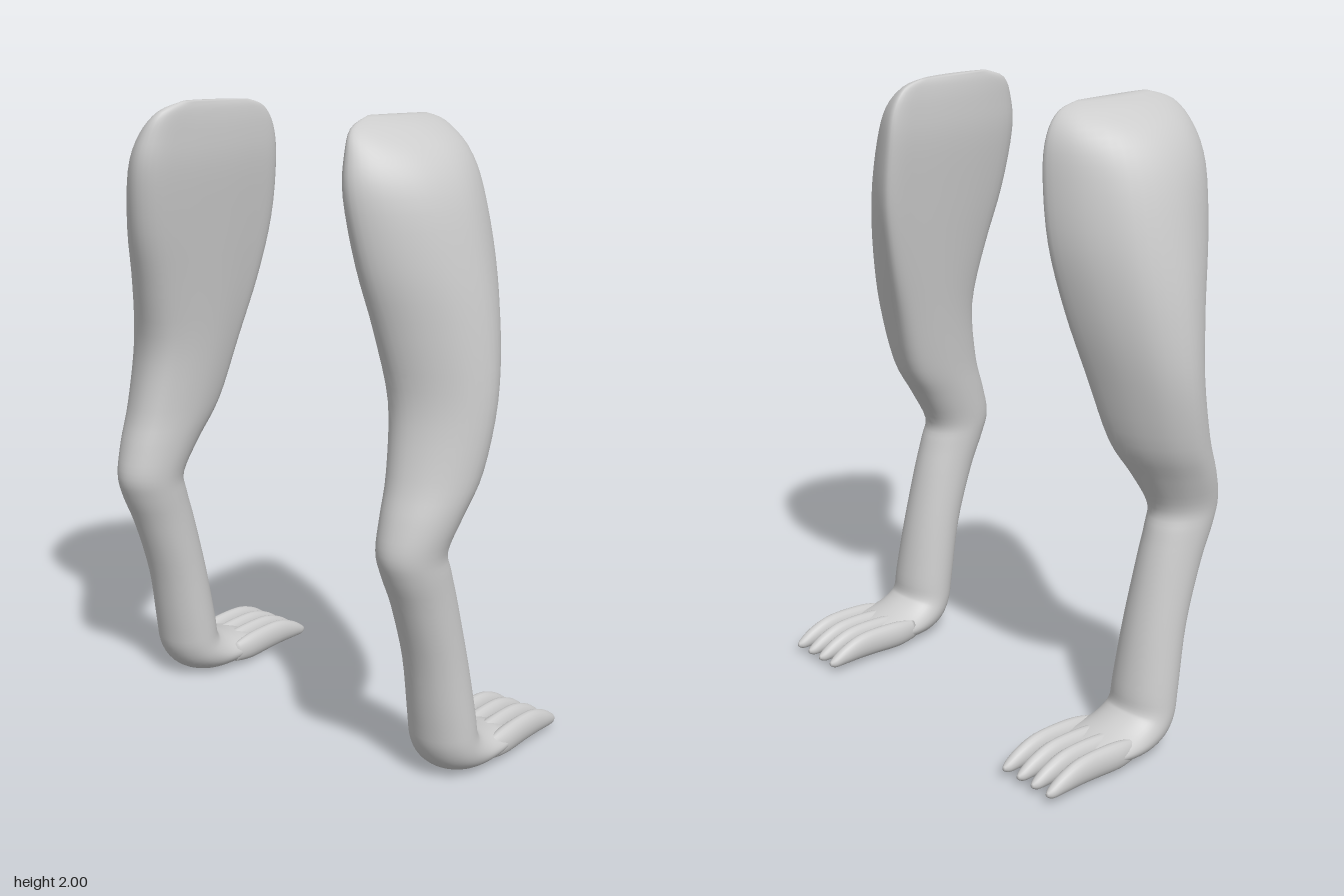
import * as THREE from 'three';

const material = new THREE.MeshStandardMaterial({ color: 0xcccccc, side: THREE.DoubleSide });

// Thigh cross-section: u runs back to front, v from the flat inner side (0) to the outer side (1)
const thighShape = [
  [-1, 0.34], [-0.86, 0.13], [-0.45, 0.04], [0.1, 0], [0.6, 0], [0.92, 0.02],
  [1, 0.14], [0.85, 0.5], [0.52, 0.84], [0.05, 1], [-0.42, 0.9], [-0.82, 0.63],
];

// Matching cross-section of a rounded tube
const roundShape = thighShape.map((_, i) => {
  const a = Math.PI + (i / thighShape.length) * Math.PI * 2;
  return [Math.cos(a), 0.5 + 0.5 * Math.sin(a)];
});

// Sections: [back x, back y, front x, front y, inner z, outer z, thigh shape weight]
const legSections = [
  [-0.24, 2.0, 0.03, 1.99, 0.352, 0.39, 1],
  [-0.33, 1.97, 0.1, 1.965, 0.344, 0.46, 1],
  [-0.375, 1.9, 0.145, 1.9, 0.338, 0.55, 1],
  [-0.395, 1.79, 0.162, 1.79, 0.339, 0.613, 1],
  [-0.37, 1.6, 0.16, 1.6, 0.36, 0.662, 1],
  [-0.315, 1.4, 0.12, 1.4, 0.385, 0.698, 0.95],
  [-0.278, 1.2, 0.062, 1.2, 0.41, 0.715, 0.8],
  [-0.308, 1.0, 0, 1.0, 0.432, 0.702, 0.6],
  [-0.348, 0.88, -0.075, 0.88, 0.445, 0.678, 0.35],
  [-0.372, 0.78, -0.136, 0.77, 0.455, 0.652, 0.1],
  [-0.35, 0.7, -0.122, 0.7, 0.458, 0.65, 0],
  [-0.3, 0.59, -0.09, 0.59, 0.46, 0.65, 0],
  [-0.235, 0.4, -0.045, 0.4, 0.456, 0.656, 0],
  [-0.198, 0.2, -0.012, 0.22, 0.448, 0.668, 0],
  [-0.18, 0.11, -0.004, 0.155, 0.445, 0.672, 0],
  [-0.14, 0.045, 0.012, 0.137, 0.44, 0.674, 0],
  [-0.075, 0.01, 0.045, 0.122, 0.436, 0.675, 0],
  [0.01, 0.004, 0.08, 0.11, 0.432, 0.676, 0],
  [0.1, 0.016, 0.12, 0.1, 0.434, 0.672, 0],
  [0.16, 0.035, 0.165, 0.082, 0.448, 0.658, 0],
];

// Toe sections: [x, bottom y, top y, half width]
const toeProfile = [
  [0.03, 0.025, 0.09, 0.016], [0.1, 0.015, 0.105, 0.028], [0.2, 0.019, 0.11, 0.027],
  [0.27, 0.021, 0.104, 0.026], [0.33, 0.02, 0.082, 0.023], [0.37, 0.02, 0.057, 0.016],
  [0.388, 0.03, 0.042, 0.005],
];

// Smooth in-between sections
function refine(rows, steps) {
  const out = [];
  for (let i = 0; i < rows.length - 1; i++) {
    const p = rows[Math.max(i - 1, 0)], a = rows[i], b = rows[i + 1];
    const n = rows[Math.min(i + 2, rows.length - 1)];
    for (let s = 0; s < steps; s++) {
      const t = s / steps, t2 = t * t, t3 = t2 * t;
      out.push(a.map((v, k) =>
        v * (2 * t3 - 3 * t2 + 1) + b[k] * (3 * t2 - 2 * t3)
        + 0.5 * (b[k] - p[k]) * (t3 - 2 * t2 + t) + 0.5 * (n[k] - v) * (t3 - t2)));
    }
  }
  out.push(rows[rows.length - 1]);
  return out;
}

// Closed skin through the sections; side -1 mirrors it in z
function loft(name, sections, steps, count, side) {
  const rows = refine(sections, steps);
  const positions = [], index = [];
  const tri = (a, b, c) => (side > 0 ? index.push(a, b, c) : index.push(a, c, b));

  for (const [ax, ay, bx, by, zIn, zOut, weight] of rows) {
    const control = thighShape.map(([u, v], i) => new THREE.Vector3(
      THREE.MathUtils.lerp(roundShape[i][0], u, weight),
      THREE.MathUtils.lerp(roundShape[i][1], v, weight), 0));
    const curve = new THREE.CatmullRomCurve3(control, true, 'catmullrom', 0.5);
    for (let j = 0; j < count; j++) {
      const p = curve.getPoint(j / count), t = (p.x + 1) / 2;
      positions.push(ax + (bx - ax) * t, ay + (by - ay) * t, side * (zIn + (zOut - zIn) * p.y));
    }
  }
  for (let i = 0; i < rows.length - 1; i++) {
    for (let j = 0; j < count; j++) {
      const k = (j + 1) % count, a = i * count, b = a + count;
      tri(a + j, a + k, b + j);
      tri(a + k, b + k, b + j);
    }
  }
  // End caps
  for (const i of [0, rows.length - 1]) {
    const [ax, ay, bx, by, zIn, zOut] = rows[i];
    const centre = positions.length / 3;
    positions.push((ax + bx) / 2, (ay + by) / 2, side * (zIn + zOut) / 2);
    for (let j = 0; j < count; j++) {
      const a = i * count + j, b = i * count + (j + 1) % count;
      if (i === 0) tri(centre, b, a);
      else tri(centre, a, b);
    }
  }

  const geometry = new THREE.BufferGeometry();
  geometry.setAttribute('position', new THREE.Float32BufferAttribute(positions, 3));
  geometry.setIndex(index);
  geometry.computeVertexNormals();
  const mesh = new THREE.Mesh(geometry, material);
  mesh.name = name;
  return mesh;
}

function createLeg(name, side) {
  const leg = new THREE.Group();
  leg.name = name;
  leg.add(loft('thighShinAndFoot', legSections, 4, 48, side));
  // Four toes side by side
  [0.452, 0.517, 0.58, 0.646].forEach((z, i) => {
    const sections = toeProfile.map(([x, low, high, w]) => [x, low, x, high, z - w, z + w, 0]);
    leg.add(loft(`toe${i + 1}`, sections, 4, 20, side));
  });
  return leg;
}

export function createModel() {
  const model = new THREE.Group();
  model.name = 'pairOfLegs';
  model.add(createLeg('nearLeg', 1), createLeg('farLeg', -1));
  return model;
}
